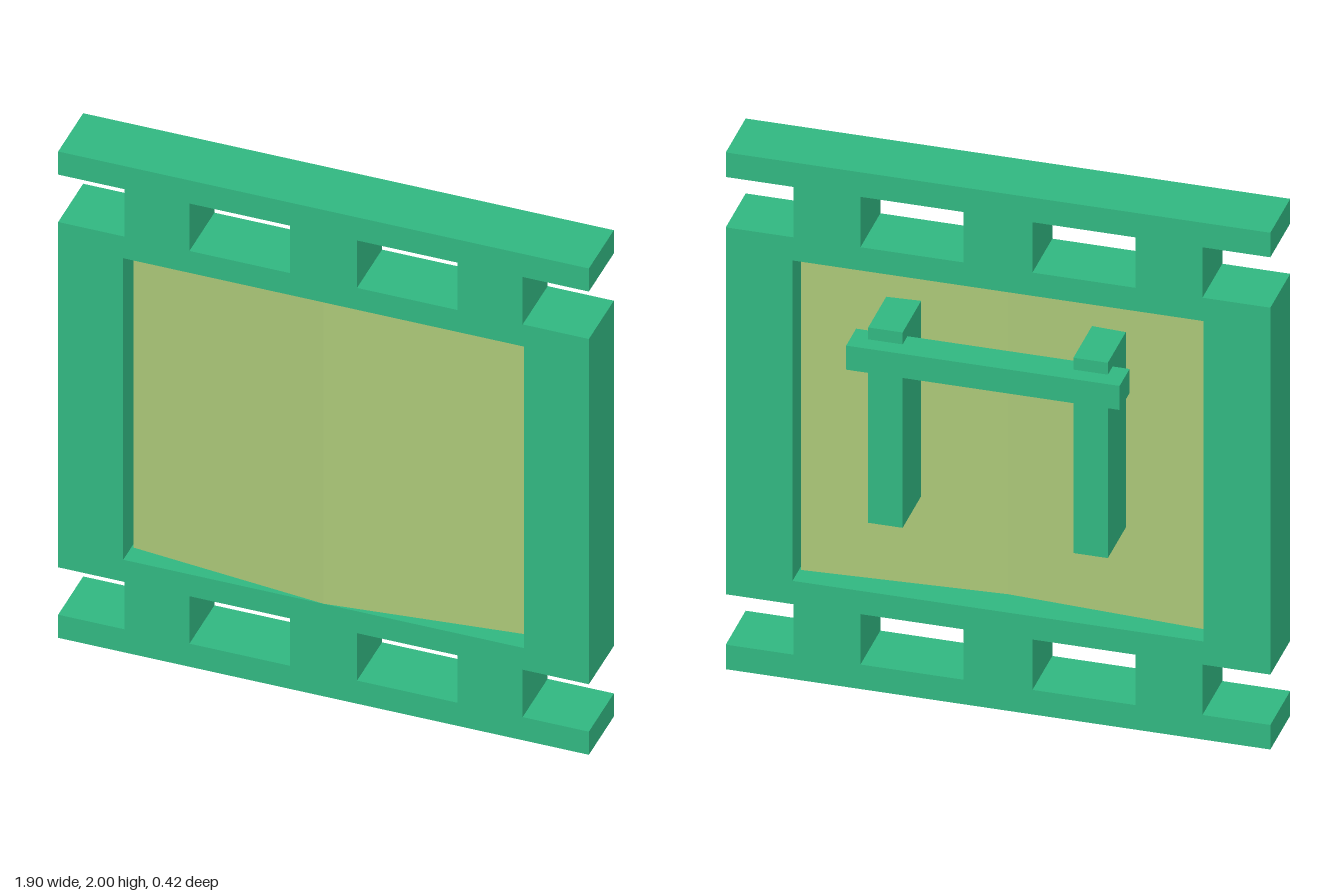
import * as THREE from 'three';

const green = new THREE.MeshStandardMaterial({ color: 0x31b781, flatShading: true });
const olive = new THREE.MeshStandardMaterial({ color: 0xabc778, flatShading: true });

const polygon = (Type, points) => new Type(points.map(([x, y]) => new THREE.Vector2(x, y)));
const rectHole = (x0, x1, y0, y1) =>
  polygon(THREE.Path, [[x0, y0], [x0, y1], [x1, y1], [x1, y0]]);

function addMesh(group, name, geometry, material) {
  const mesh = new THREE.Mesh(geometry, material);
  mesh.name = name;
  group.add(mesh);
  return mesh;
}

function addBox(group, name, [x0, x1], [y0, y1], [z0, z1]) {
  const mesh = addMesh(group, name, new THREE.BoxGeometry(x1 - x0, y1 - y0, z1 - z0), green);
  mesh.position.set((x0 + x1) / 2, (y0 + y1) / 2, (z0 + z1) / 2);
}

export function createModel() {
  const group = new THREE.Group();
  group.name = 'framedPanel';

  // Frame: one slab with side notches, slots between the posts and a window
  const right = [
    [0.95, 0], [0.95, 0.095], [0.713, 0.095], [0.713, 0.29], [0.95, 0.29],
    [0.95, 1.71], [0.713, 1.71], [0.713, 1.905], [0.95, 1.905], [0.95, 2],
  ];
  const left = right.map(([x, y]) => [-x, y]).reverse();
  const outline = polygon(THREE.Shape, [...right, ...left]);
  outline.holes.push(rectHole(-0.717, 0.717, 0.38, 1.62));
  for (const [y0, y1] of [[0.095, 0.29], [1.71, 1.905]]) {
    outline.holes.push(rectHole(-0.48, -0.12, y0, y1), rectHole(0.12, 0.48, y0, y1));
  }
  const frame = new THREE.ExtrudeGeometry(outline, { depth: 0.236, bevelEnabled: false });
  frame.translate(0, 0, -0.028);
  addMesh(group, 'frame', frame, green);

  // Panel: bent plate, creased down the middle; cross-section drawn in x and -z
  const section = polygon(THREE.Shape, [
    [-0.71, -0.13], [0, -0.207], [0.71, -0.13], [0.71, -0.05], [0, -0.09], [-0.71, -0.05],
  ]);
  const panel = new THREE.ExtrudeGeometry(section, { depth: 1.24, bevelEnabled: false });
  panel.rotateX(-Math.PI / 2);
  panel.translate(0, 0.38, 0);
  addMesh(group, 'panel', panel, olive);

  // Rear uprights and the crossbar they carry
  for (const side of [-1, 1]) {
    const x = 0.358 * side;
    addBox(group, side > 0 ? 'leftUpright' : 'rightUpright',
      [x - 0.06, x + 0.06], [0.72, 1.476], [-0.147, 0.085]);
  }
  addBox(group, 'crossbar', [-0.477, 0.477], [1.337, 1.43], [-0.208, -0.09]);

  return group;
}
